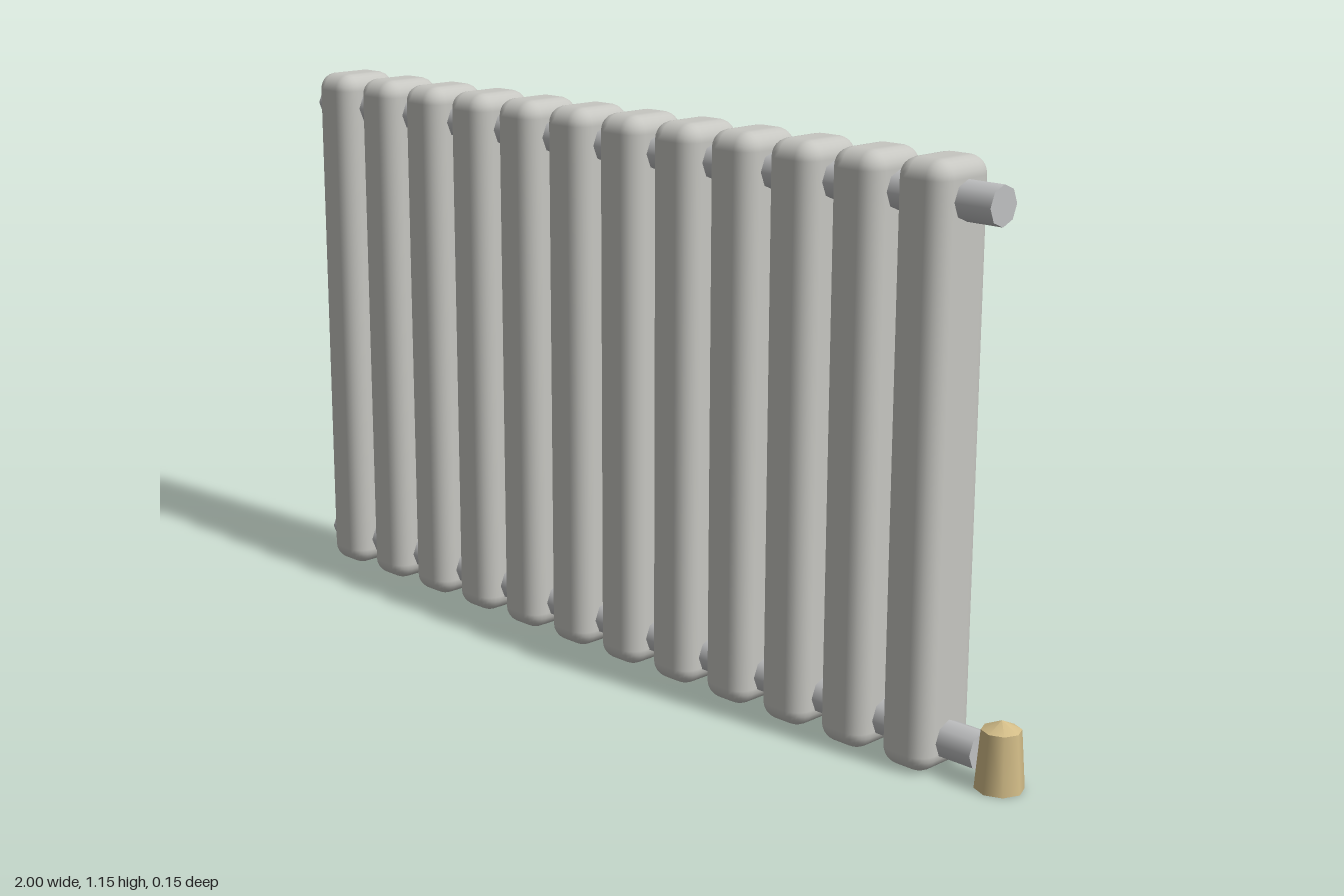
import * as THREE from 'three';
import { RoundedBoxGeometry } from 'three/addons/geometries/RoundedBoxGeometry.js';

export function createModel() {
  const model = new THREE.Group();
  model.name = 'radiator';

  const enamel = new THREE.MeshStandardMaterial({ color: 0xc6c6c1 });
  enamel.name = 'pale grey enamel';
  const steel = new THREE.MeshStandardMaterial({ color: 0xbfc0c1 });
  steel.name = 'grey steel';
  const brass = new THREE.MeshStandardMaterial({ color: 0xd3bd88 });
  brass.name = 'pale brass';

  const add = (name, geometry, material, x, y) => {
    const mesh = new THREE.Mesh(geometry, material);
    mesh.name = name;
    mesh.position.set(x, y, 0);
    model.add(mesh);
    return mesh;
  };

  // Twelve upright rounded columns
  const height = 1.15;
  const columnGeometry = new RoundedBoxGeometry(0.112, height, 0.152, 3, 0.036);
  for (let i = 0; i < 12; i++) {
    add(`column${i + 1}`, columnGeometry, enamel, -0.907 + i * 0.153, height / 2);
  }

  // Upper and lower eight-sided pipes running through all columns
  const pipeGeometry = new THREE.CylinderGeometry(0.038, 0.038, 1.91, 8);
  pipeGeometry.rotateZ(Math.PI / 2);
  add('upperPipe', pipeGeometry, steel, -0.045, 1.075);
  add('lowerPipe', pipeGeometry, steel, -0.045, 0.06);

  // Tapered valve knob with a low pointed cap and a recessed underside
  const side = [[0.047, 0], [0.038, 0.115]];
  const cap = [[0.038, 0.115], [0, 0.133]];
  const recess = [[0, 0.02], [0.03, 0.02], [0.03, 0.004], [0.047, 0]];
  const valve = new THREE.Group();
  valve.name = 'valve';
  valve.position.set(0.952, 0, 0);
  for (const [name, points] of Object.entries({ valveBody: side, valveCap: cap, valveRecess: recess })) {
    const profile = points.map(([r, y]) => new THREE.Vector2(r, y));
    const mesh = new THREE.Mesh(new THREE.LatheGeometry(profile, 8), brass);
    mesh.name = name;
    valve.add(mesh);
  }
  model.add(valve);

  return model;
}
